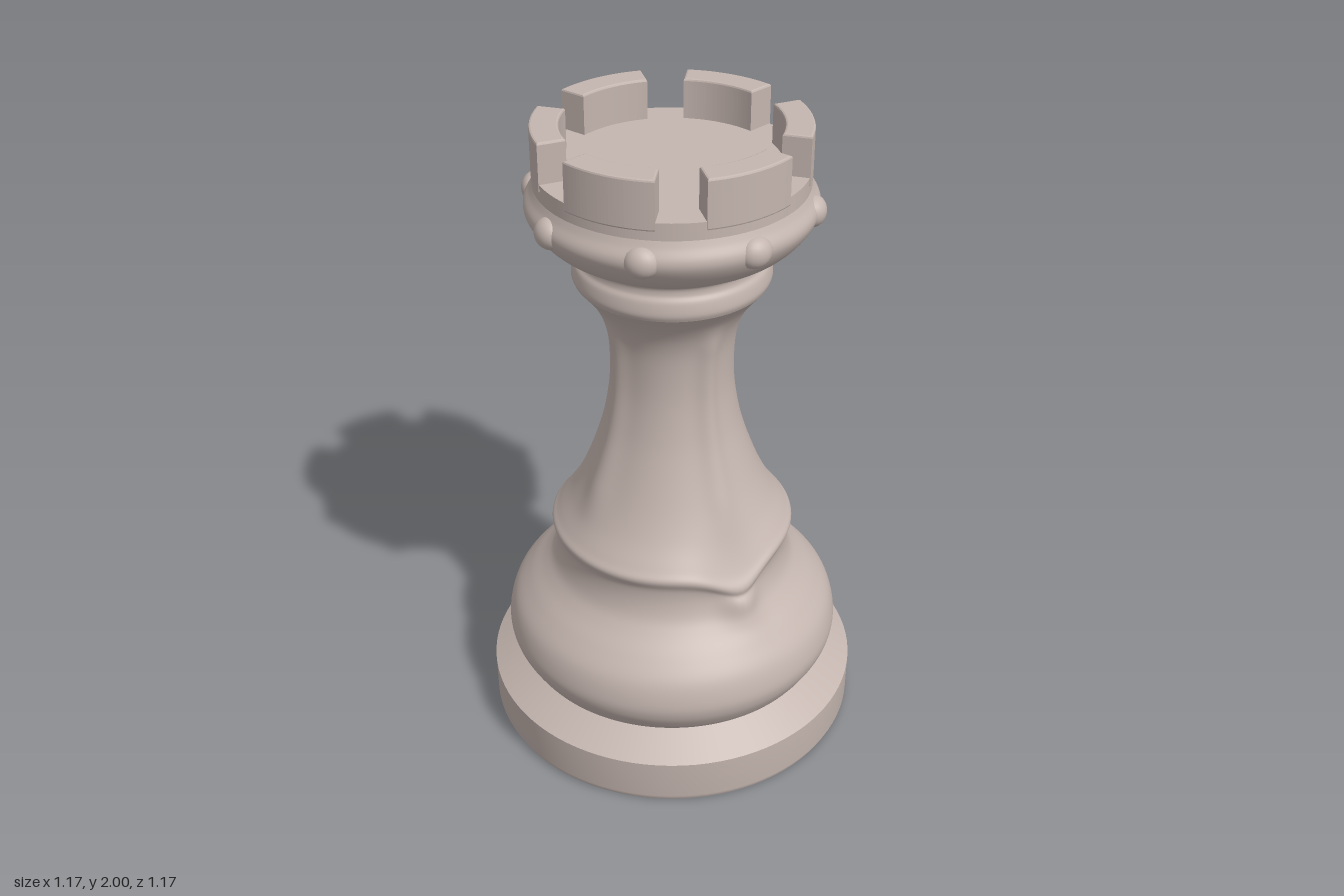
import * as THREE from 'three';
import { mergeVertices } from 'three/addons/utils/BufferGeometryUtils.js';

const stone = new THREE.MeshStandardMaterial({ color: 0xc4b5af });
stone.name = 'warm grey stone';

function addMesh(parent, name, geometry) {
  const mesh = new THREE.Mesh(geometry, stone);
  mesh.name = name;
  parent.add(mesh);
  return mesh;
}

const toPoints = (list) => list.map(([r, y]) => new THREE.Vector2(r, y));

// smooth turned section through a few [radius, height] points
function turned(list, steps, segments = 96) {
  return new THREE.LatheGeometry(new THREE.SplineCurve(toPoints(list)).getPoints(steps), segments);
}

const bell = (t, width) => Math.exp(-((t / width) ** 2));

// raise four ribs on the shaft, and pull the collar into a prow at front and back
function carve(geometry) {
  geometry.deleteAttribute('uv');
  geometry.deleteAttribute('normal');
  const merged = mergeVertices(geometry, 1e-5);
  const pos = merged.attributes.position;
  for (let i = 0; i < pos.count; i++) {
    const x = pos.getX(i), y = pos.getY(i), z = pos.getZ(i);
    const r = Math.hypot(x, z);
    const sideAngle = Math.atan2(Math.abs(z), Math.abs(x));
    const frontAngle = Math.PI / 2 - sideAngle;
    const fade = THREE.MathUtils.smoothstep(y, 0.72, 0.9) * (1 - THREE.MathUtils.smoothstep(y, 1.36, 1.48));
    const rib = 0.016 * fade * (bell(sideAngle, 0.2) + bell(frontAngle, 0.16));
    const prow = 0.04 * bell(y - 0.59, 0.09) * bell(frontAngle, 0.16);
    const dip = 0.06 * bell(y - 0.69, 0.08) * bell(frontAngle, 0.3);
    const k = (r + rib + prow) / r;
    pos.setXYZ(i, x * k, y - dip, z * k);
  }
  merged.computeVertexNormals();
  return merged;
}

// one curved battlement block, centred on the front
function merlonGeometry() {
  const half = 0.335, outer = 0.386, inner = 0.316, bevel = 0.006;
  const mid = -Math.PI / 2;
  const shape = new THREE.Shape();
  shape.absarc(0, 0, outer, mid - half, mid + half, false);
  shape.absarc(0, 0, inner, mid + half, mid - half, true);
  shape.closePath();
  const geometry = new THREE.ExtrudeGeometry(shape, {
    depth: 0.134, curveSegments: 12, bevelEnabled: true,
    bevelThickness: bevel, bevelSize: bevel, bevelSegments: 2,
  });
  geometry.rotateX(-Math.PI / 2);
  geometry.translate(0, 1.86, 0);
  return geometry;
}

export function createModel() {
  const rook = new THREE.Group();
  rook.name = 'rook';

  // plinth, in separate bands so the rims stay sharp
  const plinth = new THREE.Group();
  plinth.name = 'plinth';
  rook.add(plinth);
  [
    ['plinthUnderside', [[0, 0], [0.575, 0]]],
    ['plinthWall', [[0.575, 0], [0.584, 0.02], [0.585, 0.15]]],
    ['plinthSlope', [[0.585, 0.15], [0.48, 0.215]]],
  ].forEach(([name, list]) => addMesh(plinth, name, new THREE.LatheGeometry(toPoints(list), 96)));

  // bulb, collar and flared shaft
  addMesh(rook, 'body', carve(turned([
    [0.48, 0.205], [0.5, 0.235], [0.522, 0.28], [0.527, 0.33], [0.507, 0.4],
    [0.46, 0.46], [0.41, 0.51], [0.38, 0.55], [0.365, 0.6], [0.364, 0.65],
    [0.377, 0.69], [0.357, 0.72], [0.312, 0.785], [0.27, 0.87], [0.23, 0.98],
    [0.203, 1.08], [0.186, 1.2], [0.187, 1.32], [0.202, 1.4], [0.234, 1.465], [0.285, 1.53],
  ], 110, 128)));

  // neck ring
  addMesh(rook, 'neckRing', turned([
    [0.285, 1.53], [0.291, 1.55], [0.285, 1.585], [0.274, 1.605], [0.278, 1.63], [0.315, 1.65],
  ], 24));

  // crown bowl with its rounded rim
  addMesh(rook, 'crownBowl', turned([
    [0.315, 1.65], [0.355, 1.675], [0.39, 1.71], [0.414, 1.75], [0.416, 1.78], [0.4, 1.81], [0.391, 1.83],
  ], 30));
  addMesh(rook, 'crownWall', new THREE.LatheGeometry(toPoints([[0.391, 1.83], [0.39, 1.88]]), 96));
  addMesh(rook, 'crownFloor', new THREE.LatheGeometry(toPoints([[0.39, 1.88], [0, 1.88]]), 96));

  // six battlements
  const merlon = merlonGeometry();
  for (let i = 0; i < 6; i++) {
    addMesh(rook, 'battlement', merlon).rotation.y = (i * Math.PI) / 3;
  }

  // eight studs round the rim
  const stud = new THREE.SphereGeometry(1, 20, 14);
  for (let i = 0; i < 8; i++) {
    const a = (i * Math.PI) / 4;
    const mesh = addMesh(rook, 'rimStud', stud);
    mesh.scale.set(0.05, 0.045, 0.04);
    mesh.position.set(0.397 * Math.sin(a), 1.768, 0.397 * Math.cos(a));
    mesh.rotation.y = a;
  }

  return rook;
}
